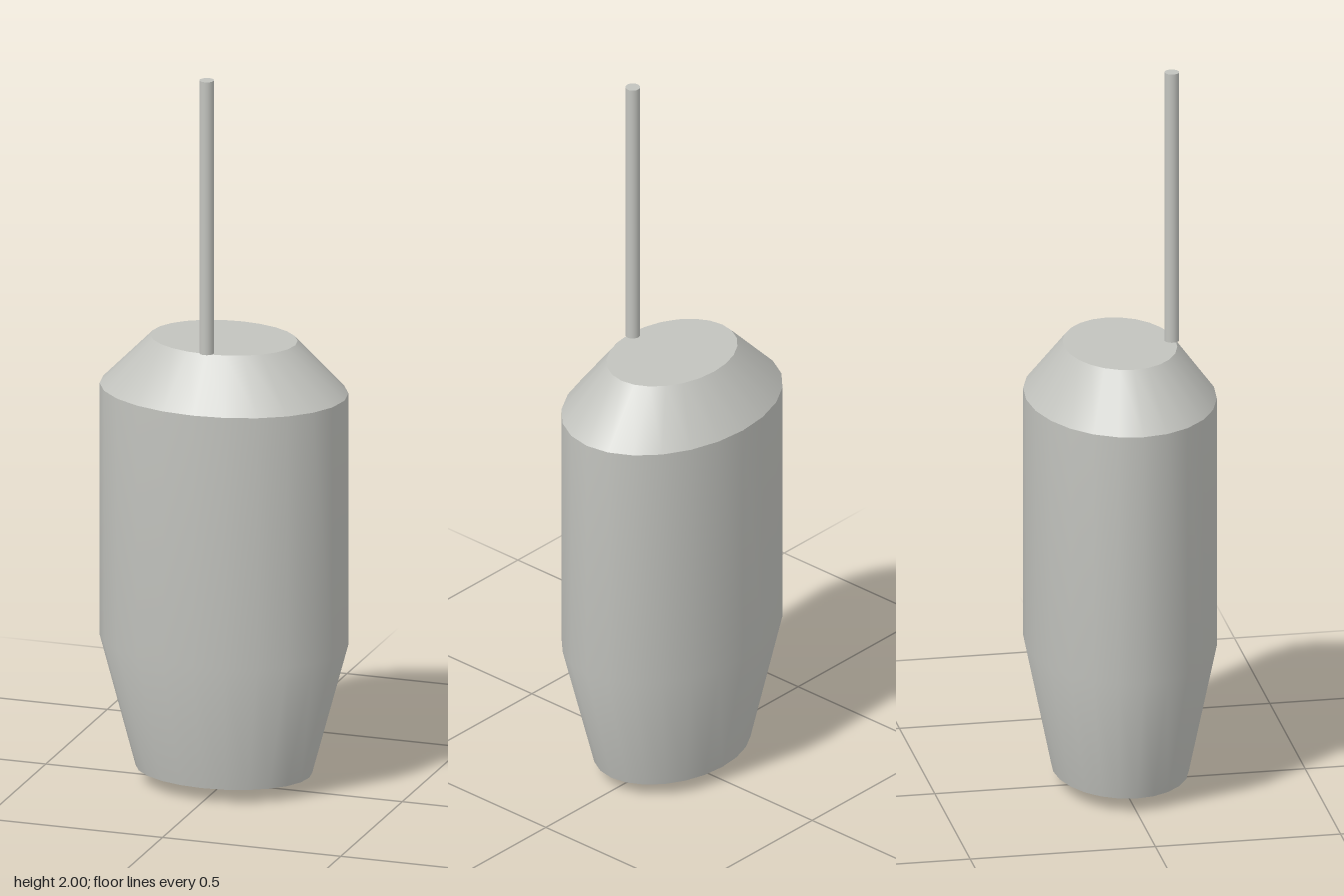
import * as THREE from 'three';

const SEGMENTS = 24;
const DEPTH = 0.75; // depth of the oval relative to its width

export function createModel() {
  const group = new THREE.Group();
  const grey = new THREE.MeshStandardMaterial({ color: 0xc2c3be });
  grey.name = 'light grey';

  const add = (name, geometry) => {
    const mesh = new THREE.Mesh(geometry, grey);
    mesh.name = name;
    group.add(mesh);
    return mesh;
  };

  // Oval bands of the float, listed from bottom to top as [radius, height];
  // separate bands keep the rims between them sharp
  const bands = {
    bottomCone: [[0, 0], [0.24, 0.04]],
    body: [[0.24, 0.04], [0.338, 0.4], [0.338, 1.1]],
    shoulder: [[0.338, 1.1], [0.2, 1.24]],
    topCap: [[0.2, 1.24], [0, 1.24]],
  };
  for (const [name, profile] of Object.entries(bands)) {
    const points = profile.map(([r, y]) => new THREE.Vector2(r, y));
    add(name, new THREE.LatheGeometry(points, SEGMENTS).scale(1, 1, DEPTH));
  }

  // Thin upright rod at the front edge of the top
  const rod = add('rod', new THREE.CylinderGeometry(0.0195, 0.0195, 0.76, SEGMENTS));
  rod.position.set(0, 1.62, 0.14);

  return group;
}
